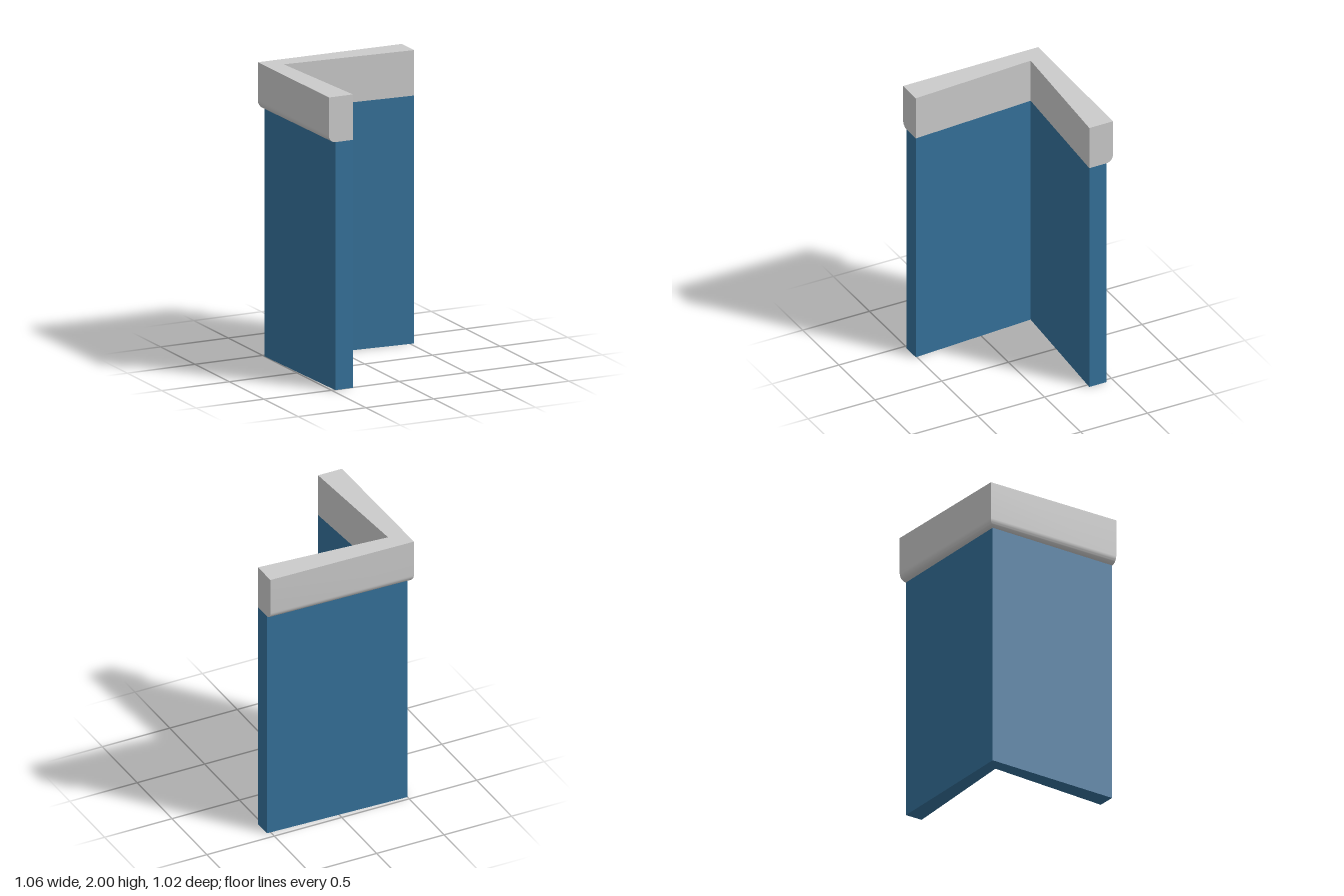
import * as THREE from 'three';
import { toCreasedNormals } from 'three/addons/utils/BufferGeometryUtils.js';

// Plan [x, z] at three stations: front end, corner, right end
const stations = [
  { inner: [-0.345, 0.507], wall: [-0.475, 0.507], cap: [-0.522, 0.507] },
  { inner: [-0.403, -0.384], wall: [-0.5, -0.475], cap: [-0.53, -0.51] },
  { inner: [0.528, -0.32], wall: [0.528, -0.447], cap: [0.528, -0.497] },
];
const CAP_BOTTOM = 1.69, CAP_TOP = 2, ROUND = 0.05;

// Joins closed cross-sections into a solid with flat ends
function loft(rings) {
  const pos = [];
  const tri = (...pts) => pts.forEach((p) => pos.push(...p));
  const n = rings[0].length;
  for (let s = 0; s < rings.length - 1; s++) {
    const p = rings[s], q = rings[s + 1];
    for (let i = 0; i < n; i++) {
      const j = (i + 1) % n;
      tri(p[i], p[j], q[j]);
      tri(p[i], q[j], q[i]);
    }
  }
  const first = rings[0], last = rings[rings.length - 1];
  for (let i = 1; i < n - 1; i++) {
    tri(first[0], first[i + 1], first[i]);
    tri(last[0], last[i], last[i + 1]);
  }
  const g = new THREE.BufferGeometry();
  g.setAttribute('position', new THREE.Float32BufferAttribute(pos, 3));
  return toCreasedNormals(g, 0.5);
}

const at = ([x, z], y) => [x, y, z];

// Plain rectangular wall section
const wallRing = ({ inner, wall }) => [
  at(inner, 0), at(wall, 0), at(wall, CAP_BOTTOM), at(inner, CAP_BOTTOM),
];

// Coping section: flush inside, overhanging outside with a rounded lower edge
function capRing({ inner, wall, cap }) {
  const ring = [at(inner, CAP_BOTTOM)];
  const steps = 10;
  for (let i = 0; i <= steps; i++) {
    const a = (i / steps) * Math.PI / 2;
    const t = Math.sin(a);
    const p = [0, 1].map((k) => wall[k] + (cap[k] - wall[k]) * t);
    ring.push(at(p, CAP_BOTTOM + ROUND * (1 - Math.cos(a))));
  }
  ring.push(at(cap, CAP_TOP), at(inner, CAP_TOP));
  return ring;
}

export function createModel() {
  const group = new THREE.Group();
  const add = (name, ring, color) => {
    const mesh = new THREE.Mesh(
      loft(stations.map(ring)),
      new THREE.MeshStandardMaterial({ color }),
    );
    mesh.name = name;
    group.add(mesh);
  };
  add('cornerWall', wallRing, 0x35719a);
  add('topCoping', capRing, 0xcccccc);
  return group;
}
